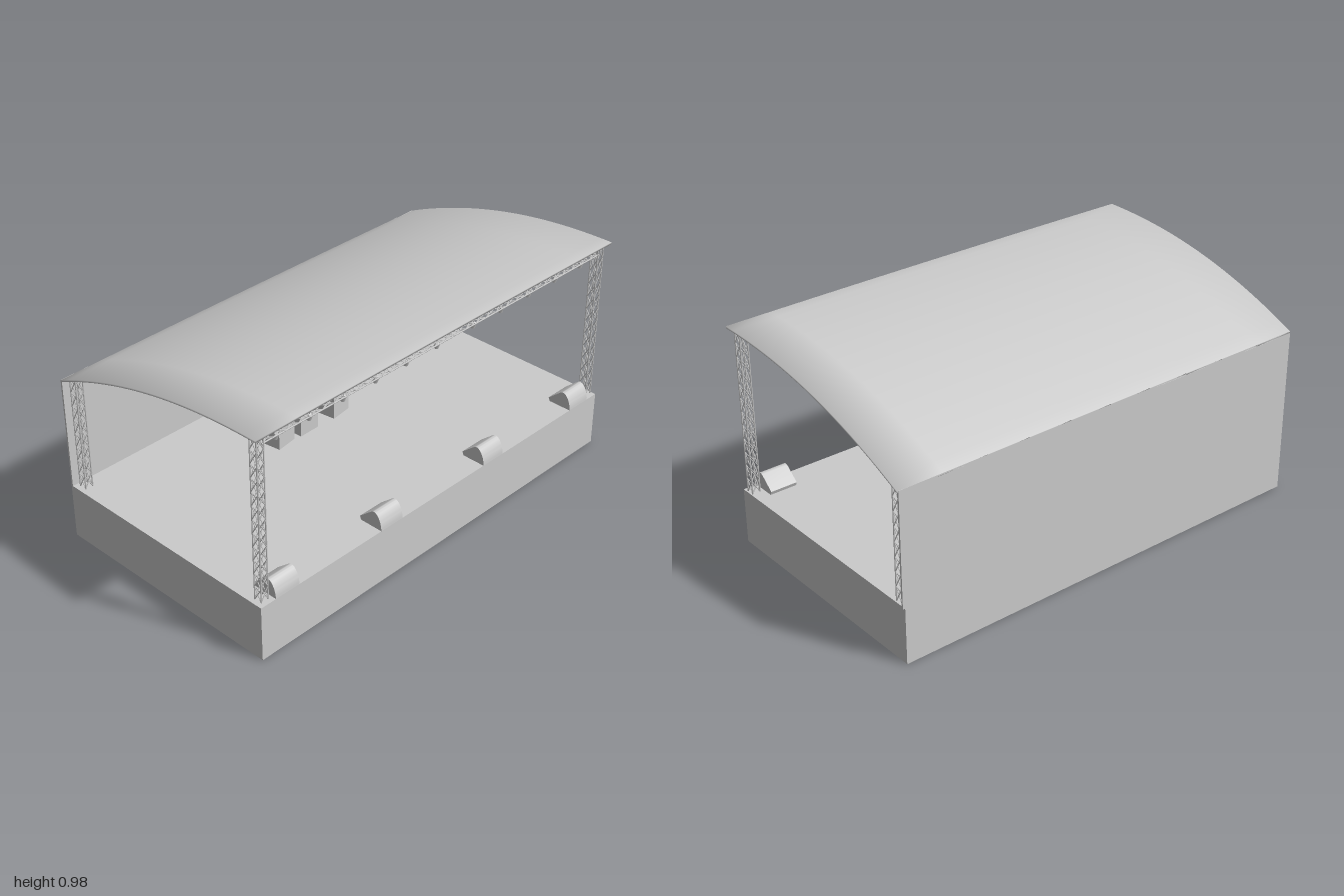
import * as THREE from 'three';
import { mergeGeometries, mergeVertices, toCreasedNormals } from 'three/addons/utils/BufferGeometryUtils.js';

const material = new THREE.MeshStandardMaterial({ color: 0xcccccc });

function addMesh(parent, name, geometry, x = 0, y = 0, z = 0) {
  const mesh = new THREE.Mesh(geometry, material);
  mesh.name = name;
  mesh.position.set(x, y, z);
  parent.add(mesh);
  return mesh;
}

function box(parent, name, w, h, d, x, y, z) {
  return addMesh(parent, name, new THREE.BoxGeometry(w, h, d), x, y, z);
}

// Thin round bar between two points
function bar(a, b, radius) {
  const dir = b.clone().sub(a);
  const g = new THREE.CylinderGeometry(radius, radius, dir.length(), 6);
  const q = new THREE.Quaternion().setFromUnitVectors(new THREE.Vector3(0, 1, 0), dir.normalize());
  const mid = a.clone().add(b).multiplyScalar(0.5);
  return g.applyQuaternion(q).translate(mid.x, mid.y, mid.z);
}

// Square lattice truss standing on its origin, cross-braced on four sides
function trussGeometry(length, width, cells) {
  const h = width / 2 - 0.003;
  const corners = [[-h, -h], [h, -h], [h, h], [-h, h]];
  const at = (i, y) => new THREE.Vector3(corners[i % 4][0], y, corners[i % 4][1]);
  const step = length / cells;
  const bars = [];
  for (let i = 0; i < 4; i++) {
    bars.push(bar(at(i, 0), at(i, length), 0.003));
    for (let c = 0; c < cells; c++) {
      bars.push(bar(at(i, c * step), at(i + 1, (c + 1) * step), 0.002));
      bars.push(bar(at(i + 1, c * step), at(i, (c + 1) * step), 0.002));
    }
  }
  return mergeGeometries(bars);
}

// Curved roof sheet falling to the back, with softened ends
function roofGeometry() {
  let g = new THREE.BoxGeometry(2, 0.008, 1.09, 10, 1, 20);
  g.deleteAttribute('uv');
  g.deleteAttribute('normal');
  g = mergeVertices(g);
  const p = g.attributes.position;
  for (let i = 0; i < p.count; i++) {
    const t = Math.max(0, (0.545 - p.getZ(i)) / 1.09);
    const crown = 0.004 * (1 - p.getX(i) ** 2);
    p.setY(i, p.getY(i) + 0.97 + crown - 0.235 * t ** 2.15);
  }
  g.computeVertexNormals();
  const n = g.attributes.normal;
  const v = new THREE.Vector3();
  for (let i = 0; i < p.count; i++) {
    if (Math.abs(p.getX(i)) < 0.99) continue;
    v.fromBufferAttribute(n, i);
    v.x = Math.sign(p.getX(i)) * 0.8;
    v.normalize();
    n.setXYZ(i, v.x, v.y, v.z);
  }
  return g;
}

// Floor monitor: rounded towards the audience, sloped towards the stage
function monitorGeometry(width) {
  const s = new THREE.Shape();
  s.moveTo(0.438, 0);
  s.lineTo(0.432, 0.016);
  s.lineTo(0.49, 0.065);
  s.quadraticCurveTo(0.508, 0.08, 0.526, 0.059);
  s.quadraticCurveTo(0.544, 0.035, 0.545, 0);
  s.closePath();
  const g = new THREE.ExtrudeGeometry(s, { depth: width, bevelEnabled: false, curveSegments: 8 });
  g.translate(0, 0, -width / 2).rotateY(-Math.PI / 2);
  return toCreasedNormals(g, 0.7);
}

export function createModel() {
  const model = new THREE.Group();
  model.name = 'concertStage';
  const floor = 0.245;

  box(model, 'platform', 1.985, floor, 1.09, -0.0075, floor / 2, 0);
  box(model, 'backWall', 1.995, 0.495, 0.008, -0.0025, floor + 0.2475, -0.541);
  addMesh(model, 'roof', roofGeometry());

  // Corner towers
  const frontTower = trussGeometry(0.72, 0.04, 12);
  const backTower = trussGeometry(0.505, 0.04, 8);
  for (const x of [-0.96, 0.96]) {
    addMesh(model, 'frontTower', frontTower, x, floor, 0.506);
    addMesh(model, 'backTower', backTower, x, floor, -0.5);
  }

  // Lighting truss across the front
  const beam = trussGeometry(1.9, 0.036, 32).rotateZ(-Math.PI / 2);
  addMesh(model, 'lightingTruss', beam, -0.95, 0.942, 0.506);

  // Stage lights under the truss
  const can = new THREE.CylinderGeometry(0.008, 0.011, 0.022, 12).rotateX(0.5);
  for (const x of [-0.865, -0.7, -0.53, -0.36, -0.195, -0.025, 0.185, 0.35, 0.52, 0.687, 0.853]) {
    const light = new THREE.Group();
    light.name = 'stageLight';
    light.position.set(x, 0.911, 0.503);
    addMesh(light, 'lamp', can);
    addMesh(light, 'hanger', new THREE.CylinderGeometry(0.002, 0.002, 0.02, 6), 0, 0.012, 0);
    model.add(light);
  }

  // Floor monitors along the front edge
  const monitor = monitorGeometry(0.12);
  for (const x of [-0.865, -0.305, 0.3, 0.865]) addMesh(model, 'floorMonitor', monitor, x, floor, 0);

  // Crates: x, y, z, turn
  const crates = [
    [-0.075, floor + 0.0525, -0.18, 0.02],
    [-0.075, floor + 0.1575, -0.185, -0.06],
    [-0.21, floor + 0.0525, -0.18, 0.14],
    [0.11, floor + 0.0525, -0.18, 0.14],
  ];
  for (const [x, y, z, turn] of crates) {
    box(model, 'crate', 0.102, 0.105, 0.09, x, y, z).rotation.y = turn;
  }
  return model;
}
